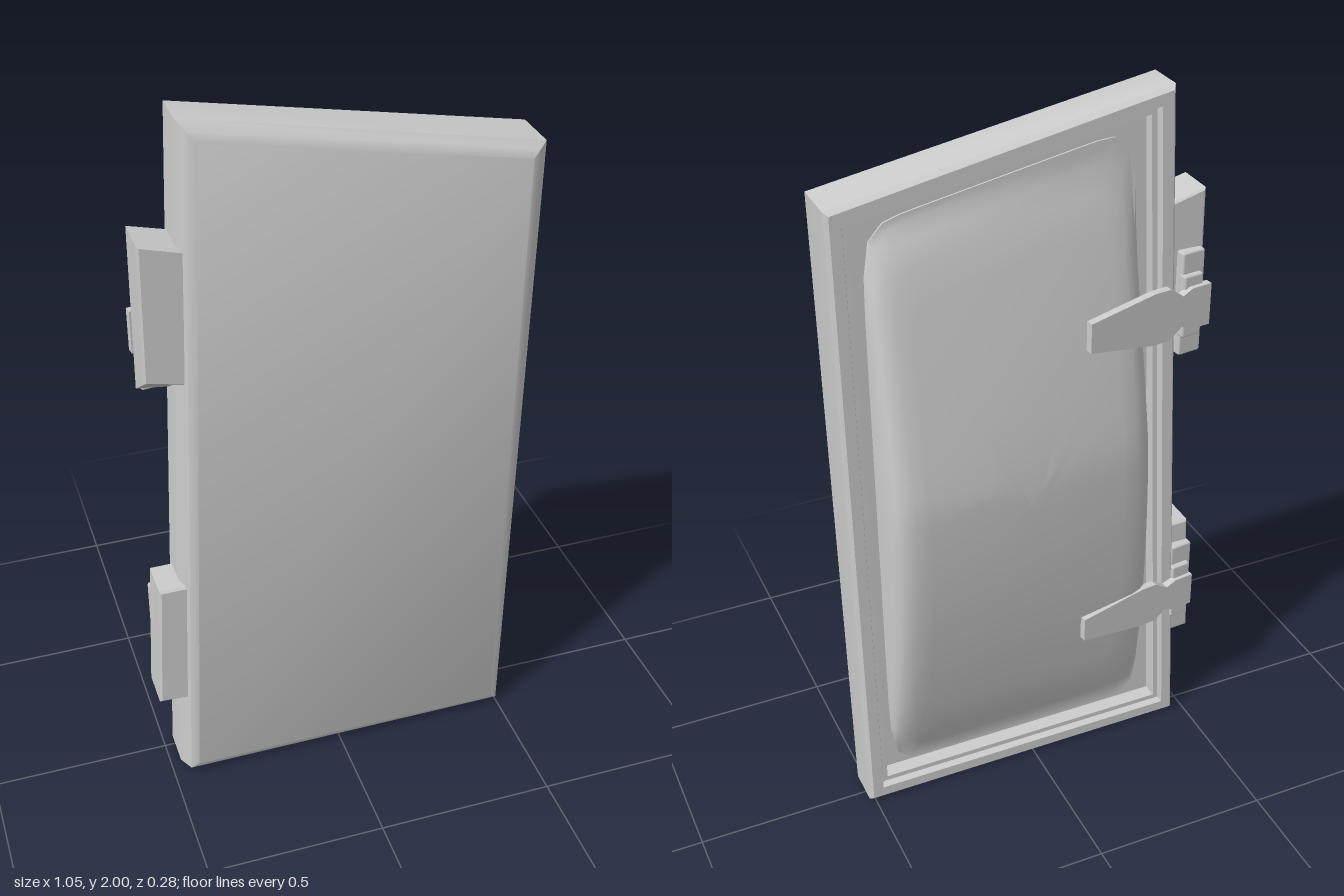
import * as THREE from 'three';
import { toCreasedNormals } from 'three/addons/utils/BufferGeometryUtils.js';
import { RoundedBoxGeometry } from 'three/addons/geometries/RoundedBoxGeometry.js';

const material = new THREE.MeshStandardMaterial({ color: 0xcccccc });

// Skin a list of rings (front to back, counter-clockwise seen from the front), capped at both ends
function loft(rings, crease) {
  const n = rings[0].length, index = [];
  for (let k = 0; k < rings.length - 1; k++) {
    for (let i = 0; i < n; i++) {
      const j = (i + 1) % n;
      const a = k * n + i, b = k * n + j, c = b + n, d = a + n;
      index.push(a, d, c, a, c, b);
    }
  }
  const last = (rings.length - 1) * n;
  for (let i = 1; i < n - 1; i++) {
    index.push(0, i, i + 1, last, last + i + 1, last + i);
  }
  const geometry = new THREE.BufferGeometry();
  geometry.setAttribute('position', new THREE.Float32BufferAttribute(rings.flat(2), 3));
  geometry.setIndex(index);
  return toCreasedNormals(geometry, crease);
}

function add(parent, name, geometry) {
  const mesh = new THREE.Mesh(geometry, material);
  mesh.name = name;
  parent.add(mesh);
  return mesh;
}

// Door outline: leaning side edges, sloping top
const leftEdge = (y) => -0.47 + 0.04 * y;
const rightEdge = (y) => 0.515 + 0.004 * y;
const topEdge = (x) => 2 - 0.187 * (x + 0.39);

function outline(inset, depth) {
  const tl = leftEdge(2) + inset, tr = rightEdge(1.83) - inset;
  return [
    [leftEdge(0) + inset, inset], [rightEdge(0) - inset, inset],
    [tr, topEdge(tr) - inset], [tl, topEdge(tl) - inset],
  ].map(([x, y]) => [x, y, depth(x, y)]);
}

// Slab with bevelled front, stepped back rim and a shallow recess
function doorGeometry() {
  const lean = (z) => (x, y) => z + (y - 1) * 0.01;
  return loft([
    outline(0.04, () => 0.14),
    outline(0.018, () => 0.128),
    outline(0, (x, y) => 0.07 + (y / 2) * (0.035 + 0.03 * x)),
    outline(0, lean(-0.022)),
    outline(0.01, lean(-0.036)),
    outline(0.04, lean(-0.036)),
    outline(0.046, lean(-0.018)),
    outline(0.06, lean(-0.018)),
    outline(0.065, () => 0.01),
  ], 0.6);
}

// Depth of the bulging inner panel, highest near mid height and towards the right
function bulge(x, y) {
  const d = y - 1.02;
  const rise = Math.min(d < 0 ? 0.16 * d * d : 0.185 * d ** 1.15, 0.15);
  const slope = THREE.MathUtils.clamp((0.36 - x) / 0.66, 0, 1);
  return -0.145 + rise + 0.042 * slope * slope * (1 - rise / 0.15);
}

// Inner panel: concentric rounded-rectangle rings following the bulge
function panelGeometry() {
  const steps = [[1, null], [1, 0.04], [0.975, 0.02], [0.93, 0.008], [0.86, 0],
    [0.75, 0], [0.6, 0], [0.45, 0], [0.3, 0], [0.15, 0], [0.01, 0]];
  const rings = steps.map(([s, drop]) => {
    const ring = [];
    for (let i = 0; i < 80; i++) {
      const a = (i / 80) * Math.PI * 2, c = Math.cos(a), t = Math.sin(a);
      const r = s * (Math.abs(c) ** 14 + Math.abs(t) ** 14) ** (-1 / 14);
      const p = (r * c + 1) / 2, q = (r * t + 1) / 2;
      const x = THREE.MathUtils.lerp(leftEdge(q * 1.9) + 0.1, 0.427, p);
      const y = THREE.MathUtils.lerp(0.07, topEdge(x) - 0.085, q);
      const z = drop === null ? 0.02 : Math.min(bulge(x, y) + drop, 0.005);
      ring.push([x, y, z]);
    }
    return ring;
  });
  return loft(rings, 0.9);
}

// Tapered strap: narrow tip, wide shoulder, waisted neck
function strapGeometry(width) {
  const upper = [[0, 0.06], [0.06, 0.06], [0.09, 0.045], [0.13, 0.075], [0.18, 0.075], [0.375, 0.042]]
    .map(([x, y]) => [x, y * width]);
  const shape = new THREE.Shape();
  shape.moveTo(upper[0][0], -upper[0][1]);
  upper.slice(1).forEach(([x, y]) => shape.lineTo(x, -y));
  upper.slice().reverse().forEach(([x, y]) => shape.lineTo(x, y));
  shape.closePath();
  return new THREE.ExtrudeGeometry(shape, { depth: 0.022, bevelEnabled: false });
}

// Hinge block from a front and a back quad, with slightly bevelled rims
function blockGeometry(front, back, z0, z1) {
  const ring = (quad, z, inset) => {
    const sx = [1, -1, -1, 1], sy = [1, 1, -1, -1];
    return quad.map(([x, y], i) => [x + sx[i] * inset, y + sy[i] * inset, z]);
  };
  return loft([
    ring(front, z0, 0.006), ring(front, z0 - 0.006, 0),
    ring(back, z1 + 0.006, 0), ring(back, z1, 0.006),
  ], 0.4);
}

function createHinge(name, front, back, strapY, strapWidth, plateX) {
  const hinge = new THREE.Group();
  hinge.name = name;
  add(hinge, 'hingeBlock', blockGeometry(front, back, 0.112, -0.006));

  // Stepped plates that carry the strap
  const plate = add(hinge, 'hingePlate', new RoundedBoxGeometry(0.07, 0.3, 0.035, 1, 0.006));
  plate.position.set(plateX, strapY, -0.012);
  plate.rotation.y = 0.13;
  const knuckle = add(hinge, 'hingeKnuckle', new RoundedBoxGeometry(0.06, 0.18, 0.03, 1, 0.006));
  knuckle.position.set(plateX + 0.005, strapY, -0.03);
  knuckle.rotation.y = 0.13;

  const strap = add(hinge, 'hingeStrap', strapGeometry(strapWidth));
  strap.position.set(-0.505, strapY, -0.052);
  strap.rotation.y = 0.13;
  return hinge;
}

export function createModel() {
  const model = new THREE.Group();
  model.name = 'hatchDoor';
  add(model, 'doorSlab', doorGeometry());
  add(model, 'innerPanel', panelGeometry());

  // Upper block has a sloping underside
  model.add(createHinge('upperHinge',
    [[-0.505, 1.325], [-0.38, 1.3], [-0.38, 1.675], [-0.5, 1.705]],
    [[-0.505, 1.25], [-0.38, 1.235], [-0.38, 1.675], [-0.5, 1.705]], 1.395, 1, -0.46));
  const lowerBlock = [[-0.525, 0.28], [-0.43, 0.275], [-0.42, 0.672], [-0.505, 0.672]];
  model.add(createHinge('lowerHinge', lowerBlock, lowerBlock, 0.455, 0.87, -0.475));
  return model;
}
